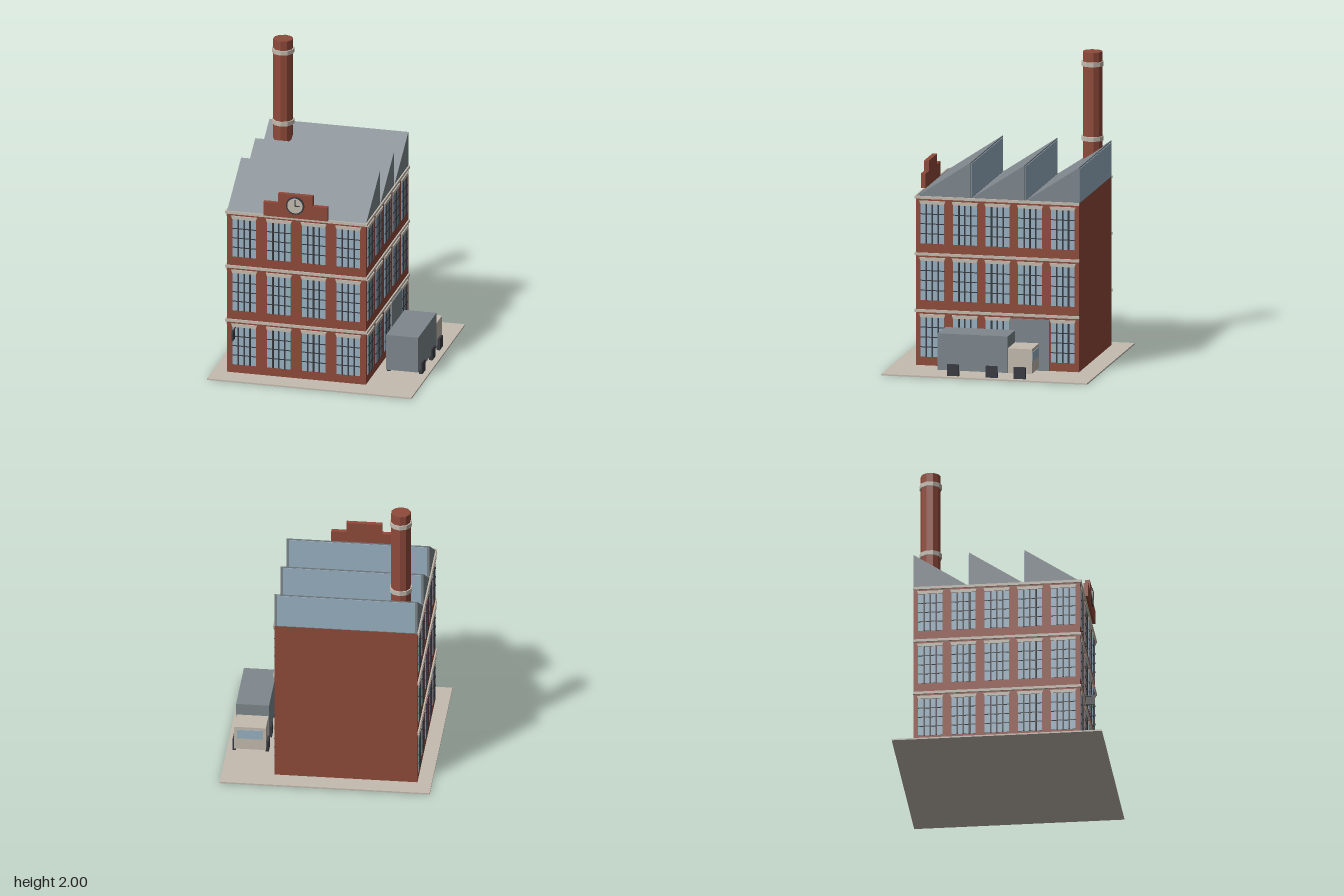
import * as THREE from 'three';

const mat = (name, color) => {
  const m = new THREE.MeshStandardMaterial({ color });
  m.name = name;
  return m;
};

export function createModel() {
  const brick = mat('brick', 0x8f4a3a);
  const trim = mat('stone trim', 0xc4bcb0);
  const grey = mat('grey metal', 0x7f888e);
  const glass = mat('glass', 0x9ab2c3);
  const dark = mat('dark iron', 0x383a40);
  const root = new THREE.Group();
  root.name = 'factory';

  const add = (parent, name, geo, m, x = 0, y = 0, z = 0) => {
    const mesh = new THREE.Mesh(geo, m);
    mesh.name = name;
    mesh.position.set(x, y, z);
    parent.add(mesh);
    return mesh;
  };
  // box given by its limits on each axis
  const box = (parent, name, m, x0, x1, y0, y1, z0, z1) =>
    add(parent, name, new THREE.BoxGeometry(x1 - x0, y1 - y0, z1 - z0), m,
      (x0 + x1) / 2, (y0 + y1) / 2, (z0 + z1) / 2);
  const extrude = (points, depth) => new THREE.ExtrudeGeometry(
    new THREE.Shape(points.map(([x, y]) => new THREE.Vector2(x, y))), { depth, bevelEnabled: false });

  const X0 = -0.6, X1 = 0.345, Z0 = -0.56, Z1 = 0.54, TOP = 1.14, FLOOR = 0.38;
  const CX = (X0 + X1) / 2;

  // ground slab and main block
  box(root, 'ground', trim, -0.695, 0.695, 0, 0.01, -0.695, 0.695);
  box(root, 'walls', brick, X0, X1, 0.01, TOP, Z0, Z1);

  // stone bands on the front and both sides
  for (let i = 1; i <= 3; i++) {
    const y = i * FLOOR - 0.012, h = y + 0.018;
    box(root, 'frontBand', trim, X0 - 0.01, X1 + 0.01, y, h, Z1, Z1 + 0.01);
    box(root, 'sideBand', trim, X0 - 0.01, X0, y, h, Z0 - 0.003, Z1);
    box(root, 'sideBand', trim, X1, X1 + 0.01, y, h, Z0 - 0.003, Z1);
  }

  // window: pane, glazing bars and tapered lintel, facing +z
  const W = 0.16, H = 0.265;
  const lintelGeo = extrude([[-W / 2, 0], [W / 2, 0], [W / 2 + 0.008, 0.022], [-W / 2 - 0.008, 0.022]], 0.009);
  const makeWindow = () => {
    const g = new THREE.Group();
    g.name = 'window';
    box(g, 'pane', glass, -W / 2, W / 2, 0, H, 0, 0.003);
    for (let i = 1; i < 4; i++) {
      const x = -W / 2 + (i * W) / 4, y = (i * H) / 4;
      box(g, 'verticalBar', dark, x - 0.005, x + 0.005, 0, H, 0, 0.007);
      box(g, 'crossBar', dark, -W / 2, W / 2, y - 0.003, y + 0.003, 0, 0.006);
    }
    add(g, 'lintel', lintelGeo, trim, 0, H, 0);
    return g;
  };
  const placeWindow = (x, y, z, turn) => {
    const w = makeWindow();
    w.position.set(x, y, z);
    w.rotation.y = turn;
    root.add(w);
  };
  for (let f = 0; f < 3; f++) {
    const y = 0.068 + f * FLOOR;
    for (let i = 0; i < 4; i++) placeWindow(X0 + (i + 0.5) * (X1 - X0) / 4, y, Z1, 0);
    for (let i = 0; i < 5; i++) {
      const z = Z1 - (i + 0.5) * 0.22;
      placeWindow(X0, y, z, -Math.PI / 2);
      if (f > 0 || i !== 3) placeWindow(X1, y, z, Math.PI / 2);
    }
  }
  box(root, 'loadingDoor', grey, X1, X1 + 0.01, 0.01, 0.352, -0.36, -0.095);

  // sawtooth roof with glazed upright faces to the rear
  const step = (Z1 - Z0) / 3, PEAK = 1.383;
  for (let i = 0; i < 3; i++) {
    const z = Z1 - i * step;
    const tooth = add(root, 'roofTooth',
      extrude([[-z, TOP], [step - z, TOP], [step - z, PEAK]], X1 - X0), grey, X1, 0, 0);
    tooth.rotation.y = Math.PI / 2;
    tooth.position.x = X0;
    box(root, 'roofGlazing', glass, X0 + 0.015, X1 - 0.015, TOP + 0.006, PEAK - 0.01,
      z - step - 0.004, z - step);
  }

  // chimney with two stone rings
  add(root, 'chimney', new THREE.CylinderGeometry(0.066, 0.066, 2 - TOP, 10).toNonIndexed(), brick,
    -0.48, (2 + TOP) / 2, -0.46).geometry.computeVertexNormals();
  for (const y of [1.42, 1.92]) {
    const ring = add(root, 'chimneyRing', new THREE.CylinderGeometry(0.075, 0.075, 0.03, 10).toNonIndexed(),
      trim, -0.48, y, -0.46);
    ring.geometry.computeVertexNormals();
  }

  // stepped parapet with clock
  add(root, 'parapet', extrude([[-0.218, 1.147], [0.218, 1.147], [0.218, 1.243], [0.118, 1.243],
    [0.118, 1.312], [-0.118, 1.312], [-0.118, 1.243], [-0.218, 1.243]], 0.032), brick, CX, 0, 0.536);
  const clock = new THREE.Group();
  clock.name = 'clock';
  clock.position.set(CX, 1.238, 0.568);
  root.add(clock);
  add(clock, 'clockRim', new THREE.CylinderGeometry(0.062, 0.062, 0.008, 20), dark, 0, 0, 0.004).rotation.x = Math.PI / 2;
  add(clock, 'clockFace', new THREE.CylinderGeometry(0.052, 0.052, 0.003, 20), trim, 0, 0, 0.009).rotation.x = Math.PI / 2;
  box(clock, 'minuteHand', dark, -0.003, 0.003, -0.003, 0.043, 0.01, 0.013);
  box(clock, 'hourHand', dark, -0.003, 0.03, -0.003, 0.004, 0.01, 0.013);

  // hanging sign
  box(root, 'signBracket', dark, -0.543, -0.537, 0.328, 0.334, Z1, 0.636);
  box(root, 'signBoard', dark, -0.545, -0.535, 0.265, 0.325, 0.574, 0.634);

  // parked lorry, facing the rear
  const lorry = new THREE.Group();
  lorry.name = 'lorry';
  root.add(lorry);
  box(lorry, 'cargoBox', grey, 0.427, 0.645, 0.045, 0.29, -0.148, 0.325);
  box(lorry, 'cab', trim, 0.431, 0.641, 0.045, 0.21, -0.31, -0.148);
  box(lorry, 'windscreen', glass, 0.45, 0.622, 0.125, 0.19, -0.314, -0.31);
  for (const z of [0.22, -0.04, -0.23]) {
    for (const side of [-1, 1]) {
      const x = 0.536 + side * 0.109;
      box(lorry, 'wheel', dark, x - 0.011, x + 0.011, 0.006, 0.088, z - 0.039, z + 0.039);
    }
  }
  return root;
}
